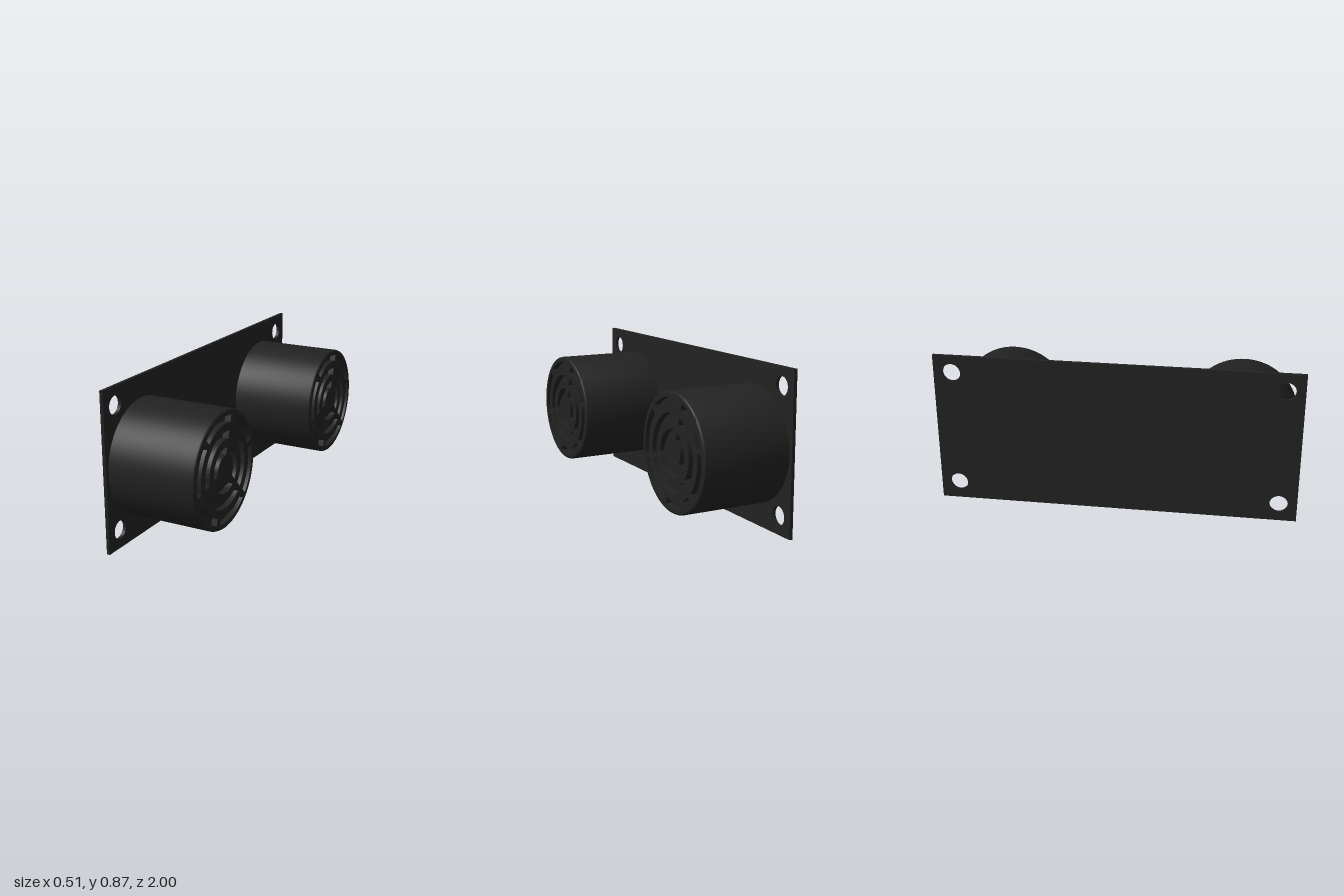
import * as THREE from 'three';
import { toCreasedNormals } from 'three/addons/utils/BufferGeometryUtils.js';

const BACK = -0.253, PLATE_FRONT = -0.235, FRONT = 0.253, GRILLE_DEPTH = 0.033;
const HEIGHT = 0.865, RADIUS = 0.313, RIM = 0.297;
const rad = THREE.MathUtils.degToRad;

function circle(Type, x, y, r) {
  const c = new Type();
  c.absarc(x, y, r, 0, Math.PI * 2, false);
  return c;
}

// Curved slot between two radii, with ends parallel to the spoke centre line
function slot(inner, outer, start, end, spokeWidth) {
  const gapIn = Math.asin(spokeWidth / 2 / inner);
  const gapOut = Math.asin(spokeWidth / 2 / outer);
  const p = new THREE.Path();
  p.absarc(0, 0, outer, start + gapOut, end - gapOut, false);
  p.absarc(0, 0, inner, end - gapIn, start + gapIn, true);
  p.closePath();
  return p;
}

function extrude(shape, depth, z, curveSegments) {
  const g = new THREE.ExtrudeGeometry(shape, { depth, bevelEnabled: false, curveSegments });
  g.translate(0, 0, z);
  return toCreasedNormals(g, rad(35));
}

export function createModel() {
  const model = new THREE.Group();
  model.name = 'sensorBoard';
  const material = new THREE.MeshStandardMaterial({ color: 0x222222 });

  function add(parent, geometry, name) {
    const mesh = new THREE.Mesh(geometry, material);
    mesh.name = name;
    parent.add(mesh);
  }

  // Everything is drawn facing +z, then turned to face +x
  const board = new THREE.Group();
  board.name = 'board';
  board.rotation.y = Math.PI / 2;
  model.add(board);

  // Mounting plate with four screw holes
  const plate = new THREE.Shape();
  plate.moveTo(-1, 0);
  plate.lineTo(1, 0);
  plate.lineTo(1, HEIGHT);
  plate.lineTo(-1, HEIGHT);
  plate.closePath();
  for (const x of [-0.9, 0.9]) {
    for (const y of [0.1, 0.767]) plate.holes.push(circle(THREE.Path, x, y, 0.05));
  }
  add(board, extrude(plate, PLATE_FRONT - BACK, BACK, 24), 'mountingPlate');

  // Round housing: outer wall, softened front edge, recess and its floor
  const floor = FRONT - GRILLE_DEPTH;
  const profile = [
    [RADIUS, PLATE_FRONT], [RADIUS, FRONT - 0.01], [RADIUS - 0.003, FRONT - 0.003],
    [RADIUS - 0.01, FRONT], [RIM, FRONT], [RIM, floor], [0, floor],
  ].map(([r, y]) => new THREE.Vector2(r, y));
  const housing = toCreasedNormals(new THREE.LatheGeometry(profile, 80).rotateX(Math.PI / 2), rad(50));

  // Grille: three rings of slots around a plain hub
  const face = circle(THREE.Shape, 0, 0, RIM);
  const rings = [
    { inner: 0.08, outer: 0.12, spokes: 3 },
    { inner: 0.163, outer: 0.203, spokes: 3 },
    { inner: 0.245, outer: 0.283, spokes: 6 },
  ];
  for (const { inner, outer, spokes } of rings) {
    const step = Math.PI * 2 / spokes;
    for (let i = 0; i < spokes; i++) {
      const start = rad(74) + i * step;
      face.holes.push(slot(inner, outer, start, start + step, 0.03));
    }
  }
  const grille = extrude(face, GRILLE_DEPTH, floor, 40);

  // Two identical transducers
  for (const [x, name] of [[-0.667, 'frontTransducer'], [0.667, 'rearTransducer']]) {
    const unit = new THREE.Group();
    unit.name = name;
    unit.position.set(x, HEIGHT / 2, 0);
    add(unit, housing, 'housing');
    add(unit, grille, 'grille');
    board.add(unit);
  }
  return model;
}
